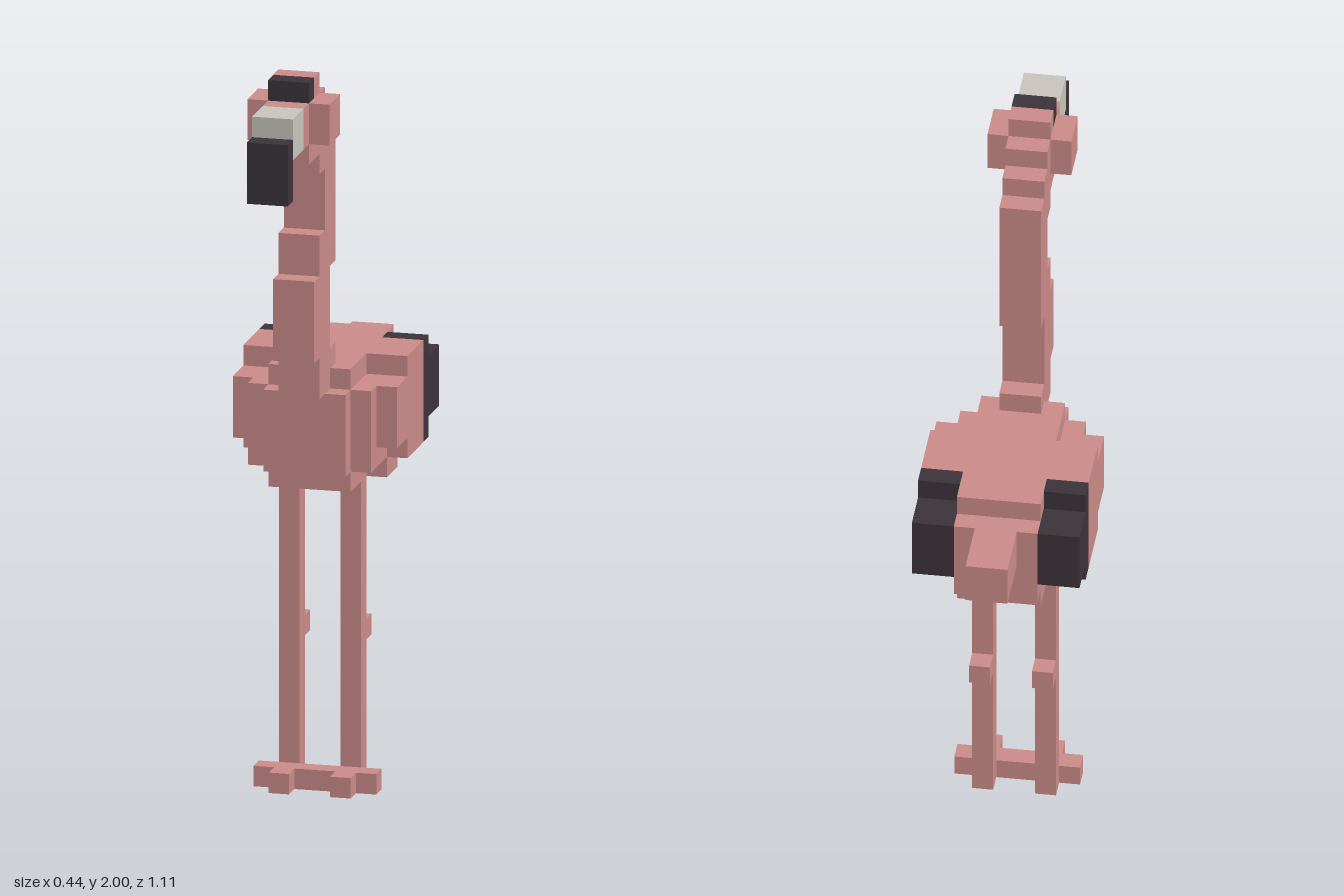
import * as THREE from 'three';

const U = 1 / 18; // one block

function material(name, color) {
  const m = new THREE.MeshStandardMaterial({ color });
  m.name = name;
  return m;
}

export function createModel() {
  const root = new THREE.Group();
  root.name = 'wadingBird';
  const pink = material('pink', 0xca8b88);
  const dark = material('charcoal', 0x3b333a);
  const grey = material('paleGrey', 0xc8c4bc);

  const group = (name) => {
    const g = new THREE.Group();
    g.name = name;
    root.add(g);
    return g;
  };

  // box from block coordinates: [min, max] along x, y, z
  const box = (parent, name, mat, [x0, x1], [y0, y1], [z0, z1]) => {
    const geo = new THREE.BoxGeometry((x1 - x0) * U, (y1 - y0) * U, (z1 - z0) * U);
    const mesh = new THREE.Mesh(geo, mat);
    mesh.position.set((x0 + x1) / 2 * U, (y0 + y1) / 2 * U, (z0 + z1) / 2 * U);
    mesh.name = name;
    parent.add(mesh);
  };

  // box centred on x with the given half width
  const mid = (parent, name, mat, w, y, z) => box(parent, name, mat, [-w, w], y, z);

  // body
  const body = group('body');
  mid(body, 'back', pink, 2, [20, 21], [-6, 2]);
  mid(body, 'trunk', pink, 2, [16, 20], [-7, 3]);
  mid(body, 'flanks', pink, 3, [16, 20], [-4, 2]);
  mid(body, 'belly', pink, 2, [15, 16], [-6, 2]);
  mid(body, 'bellySides', pink, 3, [15, 16], [-3, -1]);
  mid(body, 'tail', pink, 1, [18, 20], [-10, -7]);

  // neck, stacked in an S curve
  const neck = group('neck');
  [
    [[20, 22], [1, 4]],
    [[22, 26], [2, 5]],
    [[26, 28], [1, 4]],
    [[28, 31], [1, 3]],
    [[31, 33], [1, 4]],
  ].forEach(([y, z]) => mid(neck, 'neckBlock', pink, 1, y, z));

  // head and beak
  const head = group('head');
  mid(head, 'chin', pink, 1, [32, 33], [4, 6]);
  mid(head, 'nape', pink, 1, [33, 34], [2, 4]);
  mid(head, 'headBack', pink, 1, [34, 35], [3, 4]);
  mid(head, 'cheeks', pink, 2, [33, 35], [4, 6]);
  mid(head, 'crown', pink, 1, [35, 36], [4, 5]);
  mid(head, 'darkCrown', dark, 1, [35, 36], [5, 6]);
  mid(head, 'beakBase', pink, 1, [33, 35], [6, 7]);
  mid(head, 'beak', grey, 1, [33, 35], [7, 9]);
  mid(head, 'beakTip', dark, 1, [31, 34], [9, 10]);

  // paired wings and legs
  for (const s of [1, -1]) {
    const side = s > 0 ? 'left' : 'right';
    const span = (a, b) => (s > 0 ? [a, b] : [-b, -a]);

    const wing = group(side + 'Wing');
    box(wing, 'wingFront', pink, span(3, 4), [17, 20], [-1, 1]);
    box(wing, 'wingMiddle', pink, span(3, 4), [16, 20], [-4, -1]);
    box(wing, 'wingTop', pink, span(2, 4), [20, 21], [-4, -1]);
    box(wing, 'wingDarkBand', dark, span(2, 4), [16, 21], [-5, -4]);
    box(wing, 'wingTip', dark, span(2, 4), [17, 20], [-7, -5]);

    const leg = group(side + 'Leg');
    box(leg, 'shank', pink, span(1, 2), [0, 15], [-1, 0]);
    box(leg, 'knee', pink, span(1, 2), [7, 8], [-2, -1]);
    box(leg, 'foot', pink, span(0, 3), [0, 1], [0, 1]);
    box(leg, 'frontToe', pink, span(1, 2), [0, 1], [1, 2]);
  }
  return root;
}
